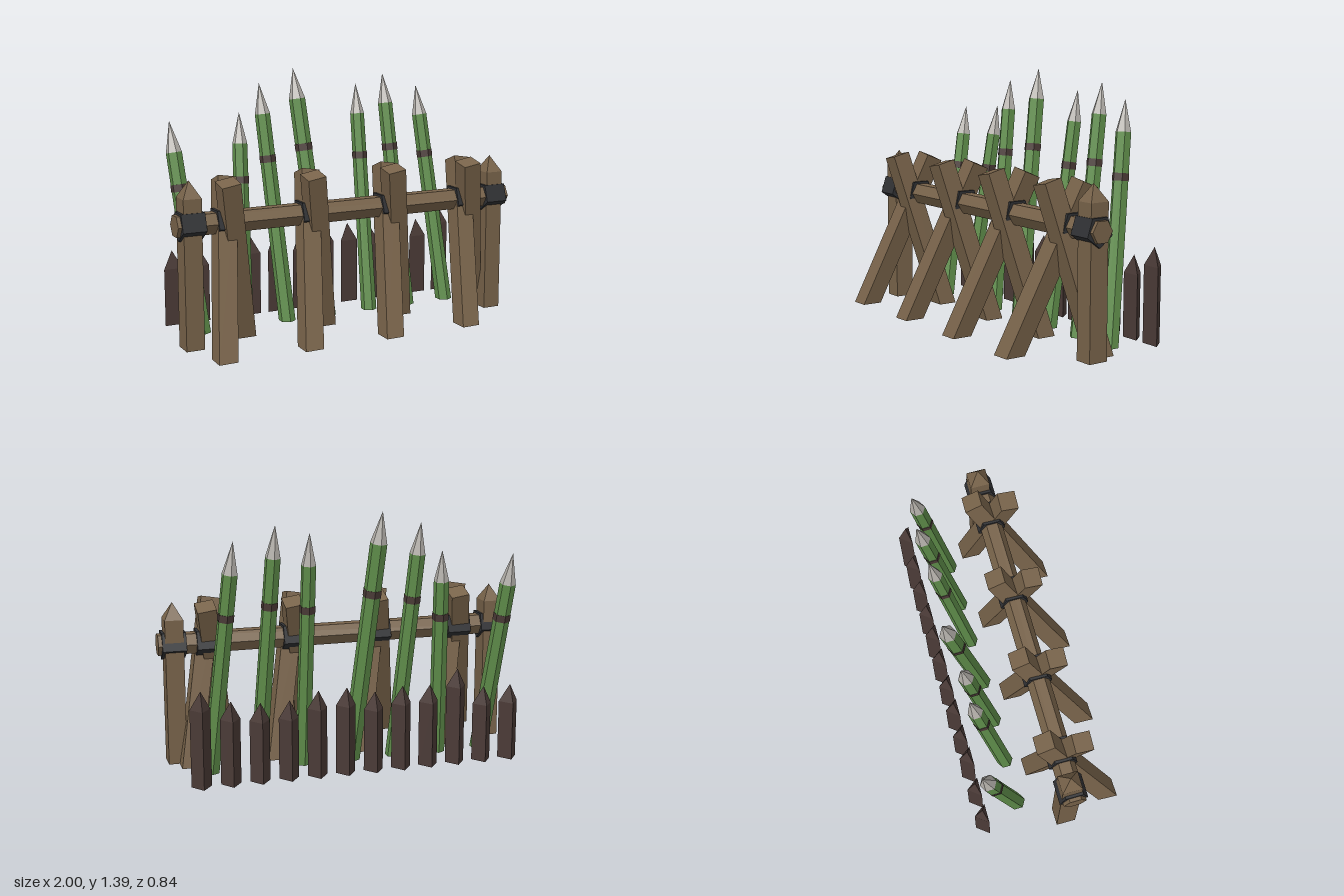
import * as THREE from 'three';

const UP = new THREE.Vector3(0, 1, 0);
const material = (name, color) => {
  const m = new THREE.MeshStandardMaterial({ color });
  m.name = name;
  return m;
};

// Mesh with one normal per face
function part(name, geometry, mat) {
  const flat = geometry.index ? geometry.toNonIndexed() : geometry;
  flat.computeVertexNormals();
  const mesh = new THREE.Mesh(flat, mat);
  mesh.name = name;
  return mesh;
}

// Turns a geometry standing on y = 0 to lean along an axis through foot;
// with cut, its lower end is sawn level with the ground
function lean(geometry, foot, dir, cut = false) {
  const q = new THREE.Quaternion().setFromUnitVectors(UP, dir);
  const pos = geometry.attributes.position;
  const v = new THREE.Vector3();
  for (let i = 0; i < pos.count; i++) {
    v.fromBufferAttribute(pos, i);
    const atFoot = Math.abs(v.y) < 1e-5;
    v.applyQuaternion(q).add(foot);
    if (cut && atFoot) v.addScaledVector(dir, -v.y / dir.y);
    pos.setXYZ(i, v.x, v.y, v.z);
  }
  return geometry;
}

const RAIL_Y = 0.66, RAIL_Z = 0.1;

// Prism lying along x on the rail axis
function railPrism(name, radius, length, sides, start, x, mat) {
  const g = new THREE.CylinderGeometry(radius, radius, length, sides, 1, false, start);
  g.rotateZ(Math.PI / 2).translate(x, RAIL_Y, RAIL_Z);
  return part(name, g, mat);
}

export function createModel() {
  const wood = material('wood', 0x78634a);
  const darkWood = material('dark wood', 0x4b3b37);
  const green = material('green bamboo', 0x608f4b);
  const steel = material('pale tip', 0xb6b2ac);
  const iron = material('black iron', 0x303134);

  const model = new THREE.Group();
  model.name = 'spikedBarricade';

  // Horizontal rail
  model.add(railPrism('rail', 0.063, 2, 6, 0, 0, wood));

  // Pointed end posts with iron bands
  for (const side of [-1, 1]) {
    const post = new THREE.Group();
    post.name = 'endPost';
    const x = side * 0.915, z = 0.09;
    const shaft = new THREE.BoxGeometry(0.1, 0.8, 0.11).translate(x, 0.4, z);
    const cap = new THREE.ConeGeometry(Math.SQRT1_2, 0.09, 4, 1, true, Math.PI / 4);
    cap.scale(0.1, 1, 0.11).translate(x, 0.845, z);
    post.add(part('postShaft', shaft, wood), part('postPoint', cap, wood));
    post.add(railPrism('postBand', 0.083, 0.13, 5, -Math.PI / 2, x, iron));
    model.add(post);
  }

  // Crossed beams carrying the rail
  function beam(name, foot, top) {
    const dir = top.clone().sub(foot);
    const length = dir.length();
    dir.normalize();
    const g = new THREE.BoxGeometry(0.103, length, 0.103).translate(0, length / 2, 0);
    return part(name, lean(g, foot, dir, true), wood);
  }
  for (let i = 0; i < 4; i++) {
    const x = -0.715 + i * 0.48;
    const cross = new THREE.Group();
    cross.name = 'crossedBeams';
    cross.add(beam('frontBeam',
      new THREE.Vector3(x - 0.125, 0, 0.365), new THREE.Vector3(x + 0.025, 0.872, 0.01)));
    cross.add(beam('backBeam',
      new THREE.Vector3(x + 0.13, 0, -0.005), new THREE.Vector3(x - 0.03, 0.882, 0.205)));
    cross.add(railPrism('crossBand', 0.083, 0.135, 5, -Math.PI / 2, x, iron));
    model.add(cross);
  }

  // Leaning spikes: foot x, tip x, tip height, tip z, radius
  const spikes = [
    [-0.77, -0.855, 1.14, -0.36, 0.049],
    [-0.515, -0.465, 1.17, -0.32, 0.046],
    [-0.26, -0.342, 1.325, -0.325, 0.047],
    [-0.01, -0.118, 1.395, -0.36, 0.051],
    [0.262, 0.266, 1.295, -0.335, 0.044],
    [0.51, 0.45, 1.345, -0.35, 0.046],
    [0.77, 0.663, 1.268, -0.328, 0.047],
  ];
  for (const [footX, tipX, tipY, tipZ, r] of spikes) {
    const foot = new THREE.Vector3(footX, 0, -0.152);
    const dir = new THREE.Vector3(tipX, tipY, tipZ).sub(foot);
    const length = dir.length();
    dir.normalize();
    const tipLength = 0.172, shaftLength = length - tipLength;
    const rTop = r * 0.9;
    const shaft = new THREE.CylinderGeometry(rTop, r, shaftLength, 6);
    shaft.translate(0, shaftLength / 2, 0);
    const tip = new THREE.ConeGeometry(rTop, tipLength, 6);
    tip.translate(0, shaftLength + tipLength / 2, 0);
    const band = new THREE.CylinderGeometry(r * 0.97, r * 0.97, 0.04, 6);
    band.translate(0, length * 0.685, 0);
    const spike = new THREE.Group();
    spike.name = 'spike';
    spike.add(part('spikeShaft', lean(shaft, foot, dir, true), green));
    spike.add(part('spikeTip', lean(tip, foot, dir), steel));
    spike.add(part('spikeBand', lean(band, foot, dir), darkWood));
    model.add(spike);
  }

  // Row of three-sided pickets behind, flat face to the front
  const heights = [0.42, 0.42, 0.53, 0.455, 0.46, 0.44, 0.475, 0.47, 0.43, 0.43, 0.45, 0.515];
  heights.forEach((h, i) => {
    const x = -0.855 + i * 0.1555, point = 0.1, body = h - point;
    const shaft = new THREE.CylinderGeometry(0.062, 0.062, body, 3, 1, false, Math.PI);
    shaft.scale(1, 1, 0.75).translate(x, body / 2, -0.373);
    const tip = new THREE.ConeGeometry(0.062, point, 3, 1, true, Math.PI);
    tip.scale(1, 1, 0.75).translate(x, body + point / 2, -0.373);
    const picket = new THREE.Group();
    picket.name = 'picket';
    picket.add(part('picketShaft', shaft, darkWood), part('picketPoint', tip, darkWood));
    model.add(picket);
  });

  return model;
}
